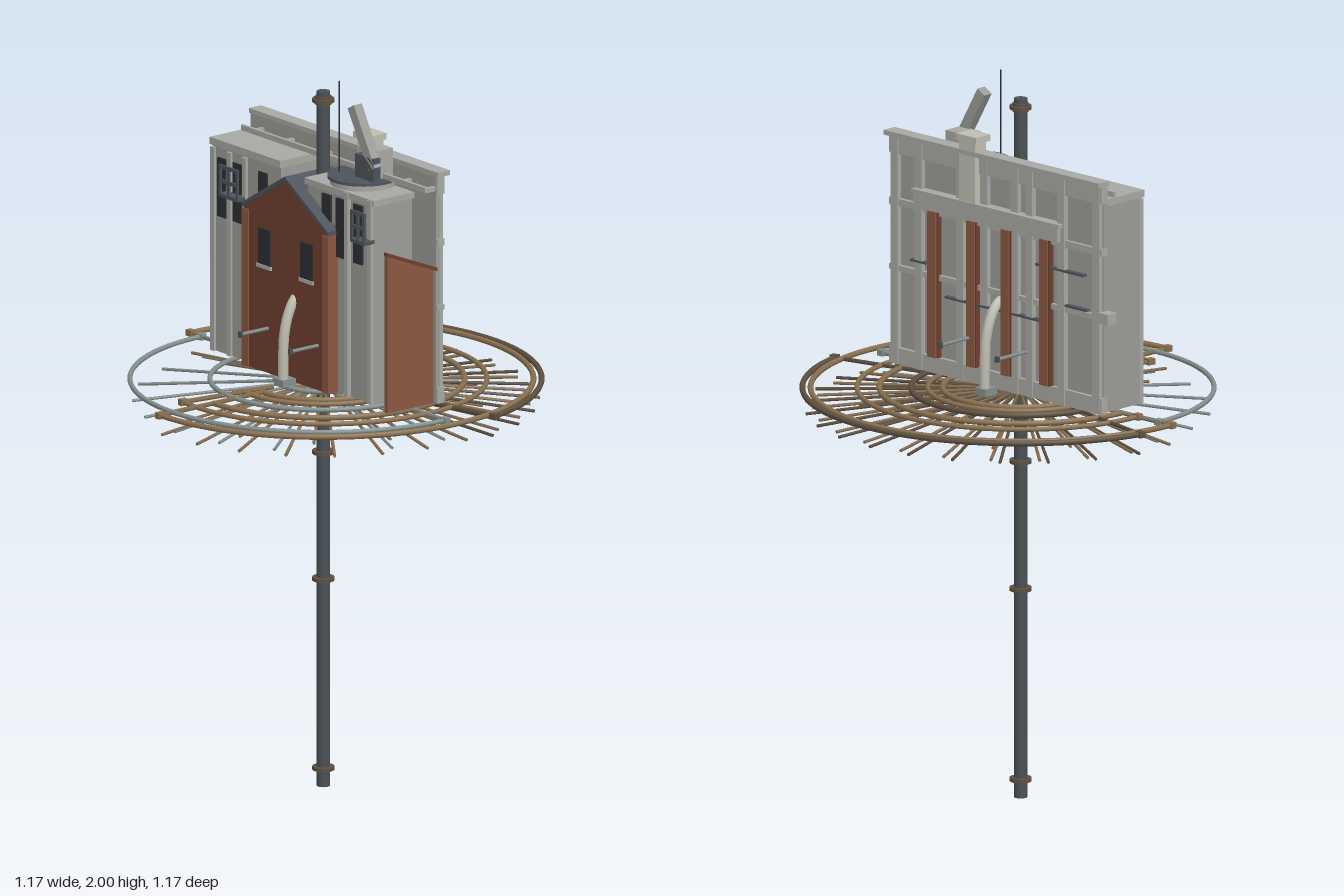
import * as THREE from 'three';

const mat = (color) => new THREE.MeshStandardMaterial({ color });
const M = {
  iron: mat(0x4a5154), brass: mat(0x8a7050), bronze: mat(0x5e5040), verdigris: mat(0x84908f),
  stone: mat(0xa8a9a3), wall: mat(0x9b9c97), pale: mat(0xbfbeb1), rust: mat(0x8a573f),
  brick: mat(0x6f3f30), slate: mat(0x4d545c), dark: mat(0x2b2f34),
};
const PX = -0.011; // mast axis
const rad = THREE.MathUtils.degToRad;

export function createModel() {
  const root = new THREE.Group();

  const add = (name, geo, m, parent = root) => {
    const mesh = new THREE.Mesh(geo, m);
    mesh.name = name;
    parent.add(mesh);
    return mesh;
  };
  const group = (name) => {
    const g = new THREE.Group();
    g.name = name;
    root.add(g);
    return g;
  };
  const box = (name, m, [x0, x1], [y0, y1], [z0, z1], parent) => add(name,
    new THREE.BoxGeometry(x1 - x0, y1 - y0, z1 - z0)
      .translate((x0 + x1) / 2, (y0 + y1) / 2, (z0 + z1) / 2), m, parent);
  const rod = (name, m, a, b, r, parent, sides = 6) => {
    const p = new THREE.Vector3(...a), q = new THREE.Vector3(...b), d = q.clone().sub(p);
    const mesh = add(name, new THREE.CylinderGeometry(r, r, d.length(), sides), m, parent);
    mesh.position.copy(p).add(q).multiplyScalar(0.5);
    mesh.quaternion.setFromUnitVectors(new THREE.Vector3(0, 1, 0), d.normalize());
    return mesh;
  };
  const extrude = (pts, depth) => new THREE.ExtrudeGeometry(
    new THREE.Shape(pts.map((p) => new THREE.Vector2(...p))), { depth, bevelEnabled: false });

  // Central mast with flanged collars
  const mast = group('mast');
  rod('pole', M.iron, [PX, 0, 0], [PX, 1.945, 0], 0.018, mast, 20);
  for (const y of [0.05, 0.58, 0.935, 1.92])
    add('collar', new THREE.CylinderGeometry(0.03, 0.03, 0.01, 20), M.bronze, mast).position.set(PX, y, 0);
  add('topCollar', new THREE.CylinderGeometry(0.022, 0.022, 0.024, 20), M.bronze, mast).position.set(PX, 1.92, 0);

  // Wheel platform: overlapping fans of arcs and drooping spokes
  const fan = (name, m, start, sweep, radii, tube, spokes) => {
    const g = group(name);
    g.position.x = PX;
    const rMax = radii[0];
    for (const r of radii)
      add('ringArc', new THREE.TorusGeometry(r, tube, 8, 72, rad(sweep))
        .rotateZ(rad(start)).rotateX(Math.PI / 2), m, g).position.y = 1.14;
    const at = (deg, r, y) => [Math.cos(rad(deg)) * r, y, Math.sin(rad(deg)) * r];
    for (let i = 0; i <= spokes; i++) {
      const a = start + sweep * i / spokes;
      rod('spoke', m, at(a, 0.02, 1.135), at(a, rMax - 0.005, 1.085), 0.0045, g, 5);
    }
    for (const a of [start, start + sweep]) {
      rod('endBar', m, at(a, rMax * 0.36, 1.14), at(a, rMax, 1.14), 0.0065, g, 4);
      const knob = add('endKnob', new THREE.BoxGeometry(0.022, 0.017, 0.018), m, g);
      knob.position.set(...at(a, rMax, 1.14));
      knob.rotation.y = -rad(a);
    }
  };
  fan('leftFan', M.verdigris, 90, 180, [0.52, 0.305, 0.13], 0.007, 10);
  fan('frontFan', M.brass, -90, 270, [0.565, 0.38, 0.21], 0.008, 20);
  fan('middleFan', M.brass, -90, 278, [0.44, 0.25], 0.007, 10);
  fan('rightFan', M.bronze, -77.5, 155, [0.587, 0.295], 0.008, 12);

  // Masonry blocks behind the facade
  const house = group('house');
  box('rearBlock', M.wall, [-0.088, 0.046], [1.15, 1.725], [-0.376, -0.085], house);
  box('rearBlockCap', M.stone, [-0.094, 0.048], [1.725, 1.745], [-0.383, -0.082], house);
  box('frontBlock', M.wall, [-0.085, 0.046], [1.15, 1.705], [0.025, 0.308], house);
  box('frontBlockCap', M.stone, [-0.093, 0.048], [1.705, 1.722], [0.02, 0.315], house);
  for (const z of [-0.37, -0.3, -0.235, 0.2, 0.298])
    box('cornerStrip', M.stone, [-0.096, -0.08], [1.15, 1.72], [z - 0.008, z + 0.008], house);
  for (const z of [-0.335, -0.27, -0.16, 0.11, 0.17, 0.245])
    box('tallWindow', M.dark, [-0.092, -0.08], [1.53, 1.695], [z - 0.018, z + 0.018], house);
  for (const [z0, z1] of [[-0.31, -0.23], [0.25, 0.31]]) {
    box('balconyFloor', M.slate, [-0.122, -0.085], [1.6, 1.61], [z0, z1], house);
    for (const y of [1.645, 1.685])
      box('balconyRail', M.slate, [-0.122, -0.116], [y - 0.005, y + 0.005], [z0, z1], house);
    for (const z of [z0 + 0.004, (z0 + z1) / 2, z1 - 0.004])
      box('balconyPost', M.slate, [-0.122, -0.116], [1.6, 1.69], [z - 0.004, z + 0.004], house);
  }

  // Brick gable crossing the middle, ridge along x; profile points are [z, y]
  const prism = (name, pts, m, x0, x1) => add(name, extrude(pts.map(([z, y]) => [-z, y]), x1 - x0)
    .rotateY(Math.PI / 2).translate(x0, 0, 0), m, house);
  prism('brickGable', [[-0.21, 1.15], [0.15, 1.15], [0.15, 1.595], [-0.03, 1.705], [-0.21, 1.595]], M.brick, -0.116, 0.046);
  prism('gableRoof', [[-0.215, 1.592], [-0.03, 1.705], [0.155, 1.592], [0.155, 1.604], [-0.03, 1.718], [-0.215, 1.604]],
    M.slate, -0.122, 0.046);
  for (const z of [-0.12, 0.06]) {
    box('brickWindow', M.dark, [-0.119, -0.11], [1.45, 1.55], [z - 0.026, z + 0.026], house);
    box('windowSill', M.stone, [-0.122, -0.11], [1.44, 1.45], [z - 0.03, z + 0.03], house);
  }
  for (const z of [-0.201, 0.141])
    box('brickPier', M.rust, [-0.12, -0.085], [1.15, 1.59], [z - 0.013, z + 0.013], house);

  // Round roof drum, cut flat where it meets the facade, with telescope
  const drum = group('roofDrum');
  const disc = (name, m, r, y, h) => {
    const a = Math.acos(0.046 / r);
    const outline = new THREE.Shape().absarc(0, 0, r, a, 2 * Math.PI - a, false);
    add(name, new THREE.ExtrudeGeometry(outline, { depth: h, bevelEnabled: false, curveSegments: 40 })
      .rotateX(-Math.PI / 2).translate(0, y, 0.157), m, drum);
  };
  disc('drumWall', M.stone, 0.09, 1.72, 0.018);
  disc('drumTop', M.slate, 0.097, 1.738, 0.008);
  box('telescopeBase', M.stone, [-0.01, 0.048], [1.745, 1.825], [0.15, 0.225], drum);
  box('telescopeMount', M.slate, [-0.032, -0.008], [1.745, 1.81], [0.16, 0.24], drum);
  const scope = add('telescope', new THREE.BoxGeometry(0.028, 0.18, 0.03), M.wall, drum);
  scope.position.set(-0.018, 1.858, 0.187);
  scope.rotation.x = -0.52;
  rod('antenna', M.dark, [-0.037, 1.74, 0.1], [-0.037, 2, 0.1], 0.002, drum);

  // Long facade on the left side
  const facade = group('facade');
  box('facadeWall', M.wall, [0.048, 0.062], [1.15, 1.785], [-0.382, 0.408], facade);
  box('facadeCornice', M.stone, [0.048, 0.09], [1.785, 1.798], [-0.39, 0.416], facade);
  for (const z of [0.39, 0.3, 0.145, 0.055, -0.06, -0.115, -0.235, -0.365])
    box('pilaster', M.stone, [0.05, 0.076], [1.15, 1.785], [z - 0.013, z + 0.013], facade);
  for (const [y0, y1] of [[1.15, 1.195], [1.41, 1.425], [1.59, 1.61], [1.735, 1.785]])
    box('band', M.stone, [0.05, 0.073], [y0, y1], [-0.385, 0.412], facade);
  for (const z of [0.245, 0.1, -0.03, -0.175]) {
    box('rustColumn', M.rust, [0.055, 0.082], [1.195, 1.6], [z - 0.015, z + 0.015], facade);
    box('columnEdge', M.brick, [0.055, 0.078], [1.195, 1.6], [z - 0.02, z - 0.015], facade);
  }
  box('lintel', M.stone, [0.05, 0.09], [1.605, 1.645], [-0.235, 0.305], facade);
  box('lintelCap', M.stone, [0.05, 0.092], [1.645, 1.655], [-0.242, 0.312], facade);
  for (const [y, z0, z1] of [[1.525, -0.32, -0.14], [1.45, 0.27, 0.33], [1.37, -0.16, 0.2], [1.43, -0.33, -0.25]])
    box('thinRail', M.slate, [0.06, 0.077], [y - 0.003, y + 0.003], [z0, z1], facade);
  box('endBracket', M.stone, [0.045, 0.08], [1.405, 1.435], [-0.415, -0.38], facade);
  box('innerRail', M.stone, [0.012, 0.022], [1.745, 1.76], [-0.38, 0.405], facade);
  for (const z of [-0.33, -0.2, -0.04, 0.1, 0.3, 0.4])
    box('railTie', M.stone, [0.012, 0.05], [1.745, 1.757], [z - 0.006, z + 0.006], facade);

  // Chimney
  box('chimney', M.pale, [0.046, 0.088], [1.655, 1.822], [0.075, 0.135], facade);
  box('chimneyCap', M.pale, [0.036, 0.092], [1.822, 1.84], [0.068, 0.142], facade);

  // Sloped rust panel closing the front end, with a thin coping
  add('rustPanel', extrude([[-0.124, 1.155], [0.036, 1.155], [0.036, 1.53], [-0.124, 1.598]], 0.012)
    .translate(0, 0, 0.4), M.rust);
  add('panelCoping', extrude([[-0.125, 1.594], [0.048, 1.522], [0.048, 1.532], [-0.125, 1.604]], 0.016)
    .translate(0, 0, 0.398), M.brick);

  // Curved side pipes and cross bars, mirrored about the mast
  for (const s of [1, -1]) {
    const x = (d) => PX + s * d;
    const path = new THREE.CatmullRomCurve3(
      [[0.139, 1.15], [0.139, 1.22], [0.135, 1.29], [0.12, 1.345], [0.095, 1.385], [0.06, 1.405]]
        .map(([d, y]) => new THREE.Vector3(x(d), y, 0)));
    add('sidePipe', new THREE.TubeGeometry(path, 24, 0.014, 12), M.pale);
    add('pipeFoot', new THREE.BoxGeometry(0.044, 0.02, 0.038), M.verdigris).position.set(x(0.133), 1.155, 0);
    for (const z of [-0.107, 0.106]) {
      rod('crossBar', M.verdigris, [x(0.06), 1.275, z], [x(0.2), 1.275, z], 0.005);
      box('barTip', M.iron, [x(0.2) - 0.004, x(0.2) + 0.004], [1.267, 1.283], [z - 0.006, z + 0.006]);
    }
  }
  return root;
}
